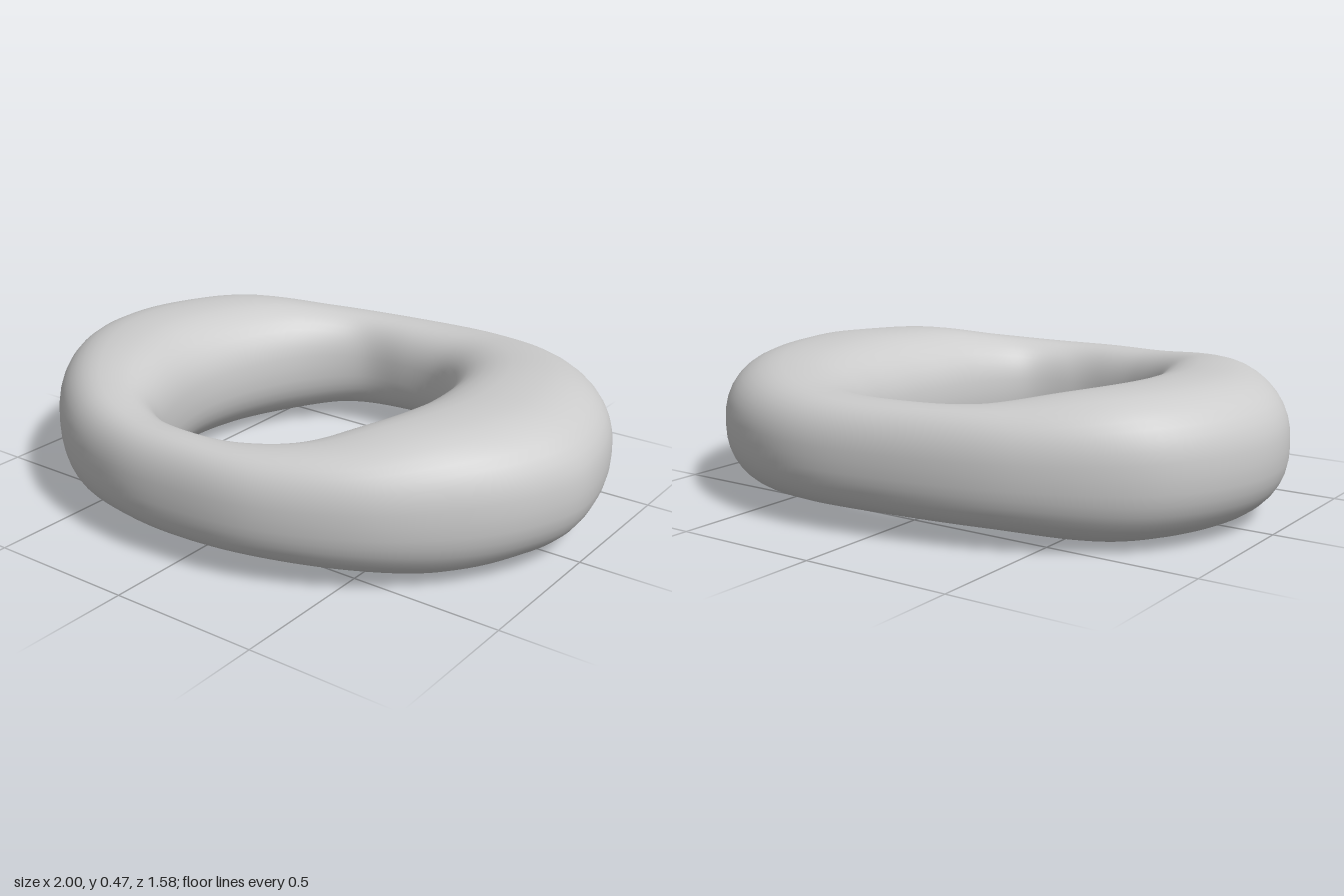
import * as THREE from 'three';

// Stations around the ring: outer x, outer z, inner x, inner z, half height
const STATIONS = [
  [1, -0.05, 0.38, 0, 0.237], [0.955, 0.18, 0.365, 0.16, 0.235], [0.82, 0.4, 0.32, 0.34, 0.225],
  [0.6, 0.6, 0.23, 0.49, 0.19], [0.3, 0.74, 0.09, 0.56, 0.17], [0, 0.785, -0.04, 0.575, 0.168],
  [-0.26, 0.77, -0.19, 0.545, 0.17], [-0.54, 0.67, -0.32, 0.45, 0.195], [-0.8, 0.45, -0.41, 0.26, 0.225],
  [-0.97, 0.17, -0.45, 0.05, 0.232], [-0.98, -0.13, -0.42, -0.16, 0.232], [-0.82, -0.44, -0.33, -0.36, 0.222],
  [-0.48, -0.65, -0.18, -0.49, 0.185], [-0.05, -0.76, -0.01, -0.51, 0.175], [0.33, -0.78, 0.16, -0.485, 0.18],
  [0.66, -0.65, 0.28, -0.38, 0.205], [0.9, -0.39, 0.36, -0.2, 0.23],
];
const MID_Y = 0.238;

// Rounded-square power used for the cross-section
const soften = (v, p) => Math.sign(v) * Math.abs(v) ** p;

function ringGeometry(around = 136, sides = 40) {
  const closed = (pts) => new THREE.CatmullRomCurve3(pts, true, 'catmullrom', 0.5);
  const outer = closed(STATIONS.map(([x, z, , , h]) => new THREE.Vector3(x, h, z)));
  const inner = closed(STATIONS.map(([, , x, z, h]) => new THREE.Vector3(x, h, z)));
  const positions = [];
  const index = [];
  for (let i = 0; i < around; i++) {
    const o = outer.getPoint(i / around);
    const n = inner.getPoint(i / around);
    for (let j = 0; j < sides; j++) {
      const a = (j / sides) * Math.PI * 2;
      // Blend from the inner edge (0) to the outer edge (1)
      const t = 0.5 + 0.5 * soften(Math.cos(a), 0.85);
      positions.push(
        n.x + (o.x - n.x) * t,
        MID_Y + o.y * soften(Math.sin(a), 0.85),
        n.z + (o.z - n.z) * t,
      );
      const i2 = ((i + 1) % around) * sides;
      const j2 = (j + 1) % sides;
      const p = i * sides + j, q = i * sides + j2, r = i2 + j, s = i2 + j2;
      index.push(p, q, r, q, s, r);
    }
  }
  const geometry = new THREE.BufferGeometry();
  geometry.setAttribute('position', new THREE.Float32BufferAttribute(positions, 3));
  geometry.setIndex(index);
  geometry.computeVertexNormals();
  return geometry;
}

export function createModel() {
  const group = new THREE.Group();
  const ring = new THREE.Mesh(ringGeometry(), new THREE.MeshStandardMaterial({ color: 0xcccccc }));
  ring.name = 'ring';
  group.add(ring);
  return group;
}
